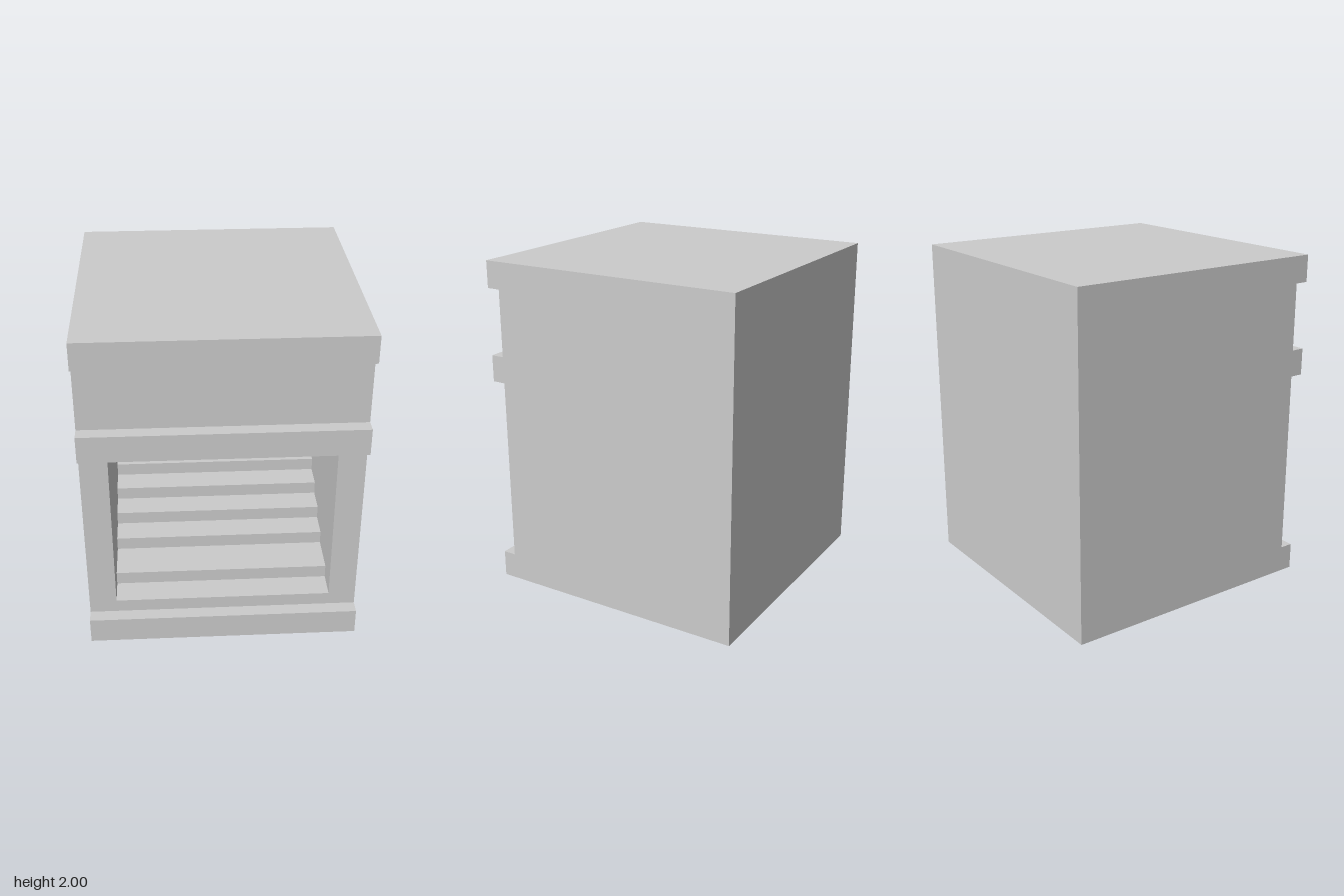
import * as THREE from 'three';

const material = new THREE.MeshStandardMaterial({ color: 0xcccccc, flatShading: true });

// Strip of faces that carries a [z, y] profile across the width
function strip(points, halfWidth) {
  const pos = [];
  for (let i = 0; i < points.length - 1; i++) {
    const [az, ay] = points[i], [bz, by] = points[i + 1];
    const a0 = [-halfWidth, ay, az], a1 = [halfWidth, ay, az];
    const b0 = [-halfWidth, by, bz], b1 = [halfWidth, by, bz];
    pos.push(...a0, ...a1, ...b1, ...a0, ...b1, ...b0);
  }
  const geo = new THREE.BufferGeometry();
  geo.setAttribute('position', new THREE.Float32BufferAttribute(pos, 3));
  geo.computeVertexNormals();
  return geo;
}

// Flat side with a [z, y] outline at x, facing along dir (+1 or -1)
function side(points, x, dir) {
  const shape = new THREE.Shape(points.map(([z, y]) => new THREE.Vector2(-dir * z, y)));
  return new THREE.ShapeGeometry(shape).rotateY(dir * Math.PI / 2).translate(x, 0, 0);
}

function rectangle(Path, x0, x1, y0, y1) {
  return new Path([[x0, y0], [x1, y0], [x1, y1], [x0, y1]].map(p => new THREE.Vector2(...p)));
}

export function createModel() {
  const model = new THREE.Group();
  const add = (name, geo) => {
    const mesh = new THREE.Mesh(geo, material);
    mesh.name = name;
    model.add(mesh);
  };

  const front = 0.8, wall = 0.72, halfWidth = 0.8, halfOpening = 0.64;
  const floor = 0.24, ceiling = 1.28, back = -0.64;

  // Building shell: middle band, upper wall, roof band, back, underside, plinth
  const shell = [
    [wall, ceiling], [front, ceiling], [front, 1.44], [wall, 1.44],
    [wall, 1.84], [front, 1.84], [front, 2], [-0.8, 2],
    [-0.8, 0], [front, 0], [front, 0.16], [wall, 0.16],
  ];
  add('buildingShell', strip(shell, halfWidth));

  // Front wall around the entrance
  const facade = rectangle(THREE.Shape, -halfWidth, halfWidth, 0.16, ceiling);
  facade.holes.push(rectangle(THREE.Path, -halfOpening, halfOpening, floor, ceiling));
  add('entranceWall', new THREE.ShapeGeometry(facade).translate(0, 0, wall));

  // Staircase rising to the back of the recess
  const stairs = [[wall, floor]];
  [0.56, 0.32, 0.16, 0, -0.16, -0.32, -0.48].forEach((z, i) => {
    const y = floor + 0.08 * i;
    stairs.push([z, y], [z, y + 0.08]);
  });
  stairs.push([back, 0.8]);
  add('staircase', strip(stairs, halfOpening));

  // Back wall and ceiling of the recess
  const rear = [[back, 0.8], [back, ceiling], [wall, ceiling]];
  add('recessBackAndCeiling', strip(rear, halfOpening));

  // Outer side walls and inner recess walls
  const recess = [...stairs, ...rear.slice(1)];
  for (const dir of [1, -1]) {
    const label = dir > 0 ? 'left' : 'right';
    add(label + 'OuterWall', side(shell, dir * halfWidth, dir));
    add(label + 'RecessWall', side(recess, dir * halfOpening, -dir));
  }
  return model;
}
